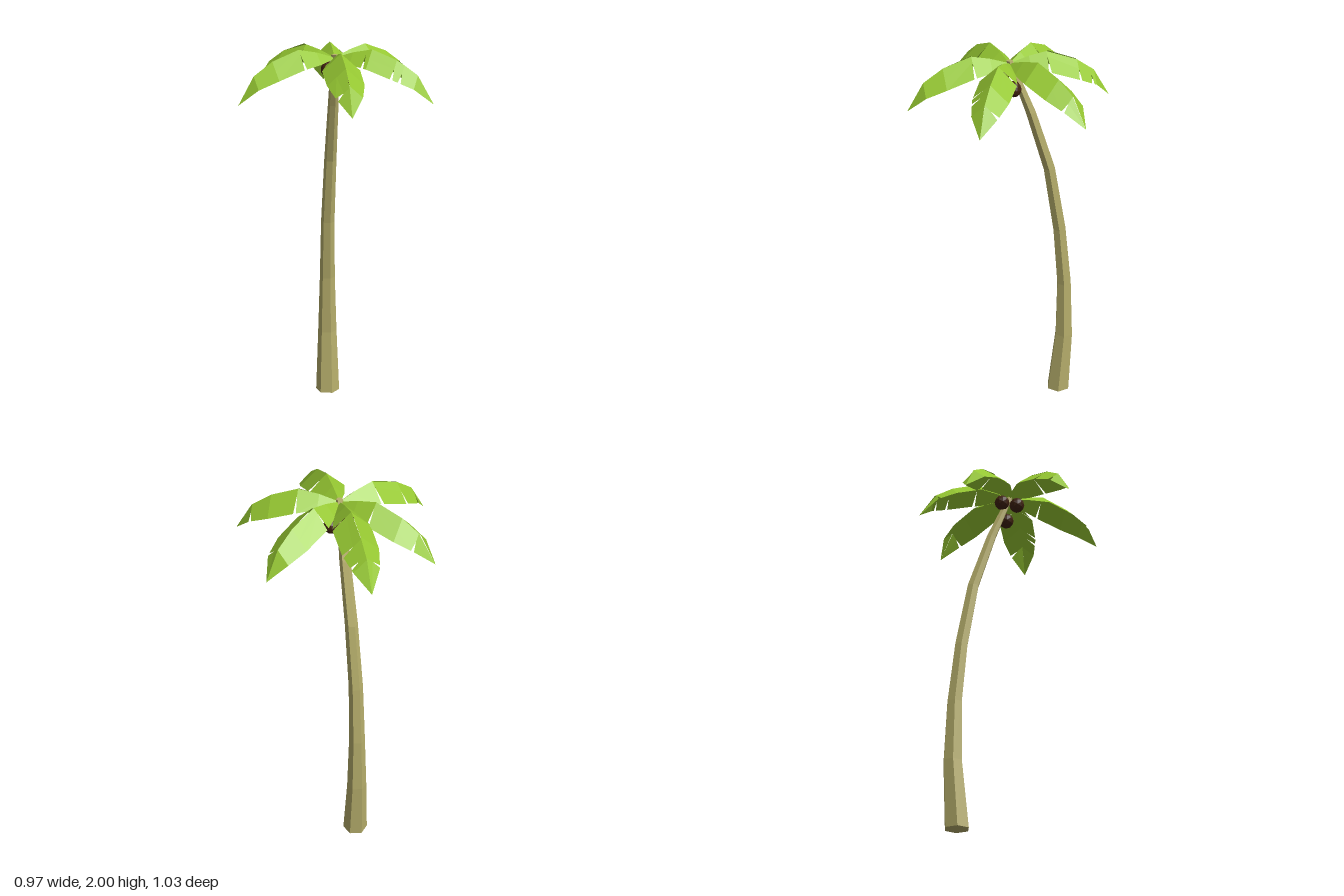
import * as THREE from 'three';

const mat = (color, side = THREE.FrontSide) =>
  new THREE.MeshStandardMaterial({ color, flatShading: true, side });

// Crown centre in plan
const CX = -0.027, CZ = 0.005;

// Trunk rings from the ground up: [y, x, z, radius]
const RINGS = [
  [0, 0.172, -0.193, 0.066], [0.35, 0.193, -0.21, 0.052], [0.67, 0.19, -0.207, 0.042],
  [1.0, 0.167, -0.186, 0.037], [1.36, 0.127, -0.138, 0.033], [1.68, 0.056, -0.066, 0.028],
  [1.96, CX, CZ, 0.017],
];

// Frond stations from crown to tip: [distance, ridge height, half width]
const STATIONS = [
  [0.012, 1.95, 0.012], [0.1, 1.978, 0.06], [0.2, 1.998, 0.095],
  [0.34, 1.948, 0.092], [0.44, 1.882, 0.066], [0.525, 1.742, 0],
];

// Frond tips [x, z], with torn notches on the clockwise and counter-clockwise edges
const FRONDS = [
  { tip: [-0.016, -0.516], cw: [0.2, 0.43], ccw: [0.185] },
  { tip: [0.35, -0.352], cw: [0.19, 0.35, 0.42], ccw: [0.43] },
  { tip: [0.481, 0.137], cw: [0.434], ccw: [0.187] },
  { tip: [0.117, 0.511], cw: [0.176, 0.33, 0.37], ccw: [0.204, 0.437] },
  { tip: [-0.391, 0.38], cw: [0.445], ccw: [0.195] },
  { tip: [-0.484, -0.249], cw: [0.194, 0.347, 0.44], ccw: [0.198] },
];

// Ridge height and half width at a distance along the frond
function sample(r) {
  let i = 0;
  while (i < STATIONS.length - 2 && r > STATIONS[i + 1][0]) i++;
  const a = STATIONS[i], b = STATIONS[i + 1];
  const t = (r - a[0]) / (b[0] - a[0]);
  return [THREE.MathUtils.lerp(a[1], b[1], t), THREE.MathUtils.lerp(a[2], b[2], t)];
}

function trunkGeometry() {
  const n = RINGS.length - 1;
  const g = new THREE.CylinderGeometry(1, 1, 1, 6, n, false, Math.PI / 2);
  const p = g.attributes.position;
  for (let i = 0; i < p.count; i++) {
    const [y, x, z, r] = RINGS[Math.round((p.getY(i) + 0.5) * n)];
    p.setXYZ(i, x + p.getX(i) * r, y, z + p.getZ(i) * r);
  }
  g.computeVertexNormals();
  return g;
}

// Folded leaf: two sloping halves, each split where a notch is torn
function frondGeometry({ tip, cw, ccw }) {
  const dir = new THREE.Vector2(tip[0] - CX, tip[1] - CZ);
  const scale = dir.length() / 0.525;
  dir.normalize();
  const out = [];
  const tri = (a, b, c, s) => {
    const area = b.clone().sub(a).cross(c.clone().sub(a)).length();
    if (area > 1e-8) for (const v of s > 0 ? [a, b, c] : [a, c, b]) out.push(v.x, v.y, v.z);
  };
  const half = (s, notches) => {
    // Point at distance r, a fraction f of the way from ridge to edge
    const point = (r, f) => {
      const [y, w] = sample(r);
      const q = s * w * f, d = r * scale;
      return new THREE.Vector3(CX + dir.x * d - dir.y * q, y - 0.9 * w * f, CZ + dir.y * d + dir.x * q);
    };
    const plain = STATIONS.map((st) => st[0]).filter((r) => notches.every((n) => Math.abs(n - r) > 0.02));
    const rows = [...plain, ...notches].sort((a, b) => a - b);
    const row = (r, side) => {
      const torn = notches.includes(r);
      const depth = r < 0.25 ? 0.25 : 0.45;
      return [point(r, 0), point(r, torn ? depth : 0.5), point(torn ? r + side * 0.007 : r, 1)];
    };
    for (let i = 0; i < rows.length - 1; i++) {
      const a = row(rows[i], 1), b = row(rows[i + 1], -1);
      for (let k = 0; k < 2; k++) {
        tri(a[k], a[k + 1], b[k + 1], s);
        tri(a[k], b[k + 1], b[k], s);
      }
    }
  };
  half(1, cw);
  half(-1, ccw);
  const g = new THREE.BufferGeometry();
  g.setAttribute('position', new THREE.Float32BufferAttribute(out, 3));
  g.computeVertexNormals();
  return g;
}

export function createModel() {
  const tree = new THREE.Group();
  tree.name = 'palmTree';
  const add = (name, geometry, material, parent = tree) => {
    const m = new THREE.Mesh(geometry, material);
    m.name = name;
    parent.add(m);
    return m;
  };

  add('trunk', trunkGeometry(), mat(0xb5ad6b));

  // Fronds around the crown
  const crown = new THREE.Group();
  crown.name = 'crown';
  tree.add(crown);
  const leaf = mat(0x96c832, THREE.DoubleSide);
  FRONDS.forEach((f, i) => add(`frond${i + 1}`, frondGeometry(f), leaf, crown));

  // Coconuts hanging under the crown
  const shell = mat(0x40220f);
  const nut = new THREE.IcosahedronGeometry(0.042, 1);
  [[-0.07, 1.89, 0], [0.01, 1.825, 0.03], [0, 1.9, -0.045]].forEach((p, i) =>
    add(`coconut${i + 1}`, nut, shell).position.set(...p));

  return tree;
}
